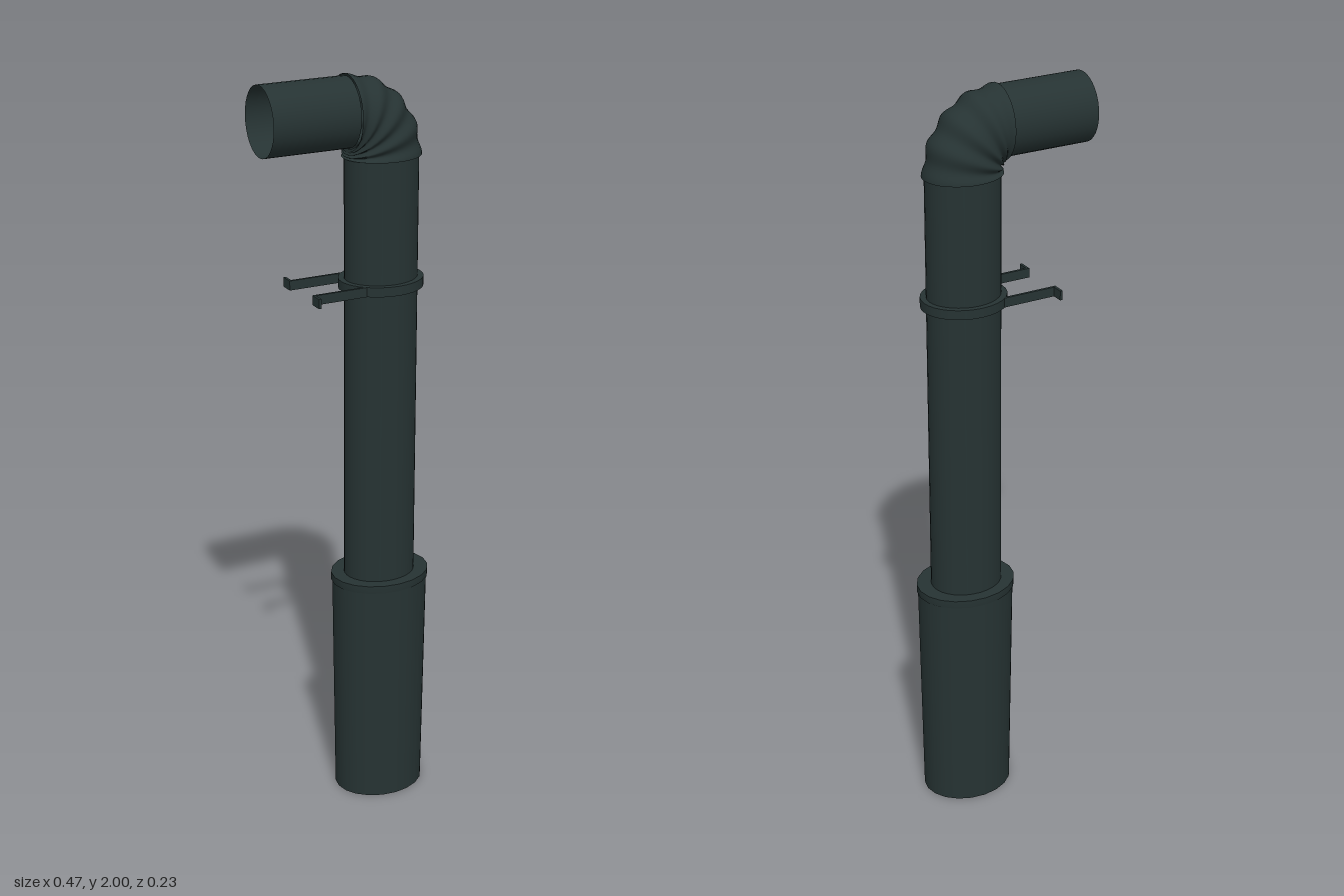
import * as THREE from 'three';

const PIPE_X = 0.098;
const RZ = 0.082; // pipe half depth

export function createModel() {
  const model = new THREE.Group();
  model.name = 'corrugatedPipe';
  const rubber = new THREE.MeshStandardMaterial({ color: 0x263333, side: THREE.DoubleSide });
  rubber.name = 'darkRubber';

  function add(name, geometry, x, y, z) {
    const mesh = new THREE.Mesh(geometry, rubber);
    mesh.name = name;
    mesh.position.set(x, y, z);
    model.add(mesh);
    return mesh;
  }
  // Oval turned part: profile radii are half widths in x, squashed in z
  function turned(name, profile, squash, sides, x = PIPE_X) {
    const g = new THREE.LatheGeometry(profile.map(([r, y]) => new THREE.Vector2(r, y)), sides);
    g.scale(1, 1, squash);
    return add(name, g, x, 0, 0);
  }

  // Tapered lower sleeve, open at the bottom, with a small lip and a flat shoulder
  turned('lowerSleeve', [[0.124, 0], [0.132, 0.63]], 0.835, 20, 0.1);
  turned('sleeveLip', [[0.132, 0.628], [0.135, 0.629], [0.135, 0.65]], 0.835, 20, 0.1);
  turned('sleeveShoulder', [[0.135, 0.65], [0.09, 0.65]], 0.835, 20, 0.1);

  // Upright pipe
  turned('uprightPipe', [[0.097, 0.6], [0.097, 1.79]], RZ / 0.097, 32);

  // Ribbed elbow made of oval sections swept through a quarter turn
  const positions = [], index = [];
  const steps = 64, sides = 32, ribs = 4;
  for (let i = 0; i <= steps; i++) {
    const t = i / steps;
    const a = t * Math.PI / 2;
    const rib = 0.008 * Math.pow(Math.cos(t * ribs * Math.PI), 2) - 0.001;
    const r = 0.097 - 0.008 * t + rib;
    for (let j = 0; j < sides; j++) {
      const p = j / sides * Math.PI * 2;
      const out = Math.cos(p) * r;
      positions.push(
        Math.cos(a) * (PIPE_X + out),
        1.79 + Math.sin(a) * (0.115 + out),
        Math.sin(p) * (RZ + rib));
      if (i < steps) {
        const b = i * sides + j, c = i * sides + (j + 1) % sides;
        index.push(b, b + sides, c, c, b + sides, c + sides);
      }
    }
  }
  const elbow = new THREE.BufferGeometry();
  elbow.setAttribute('position', new THREE.Float32BufferAttribute(positions, 3));
  elbow.setIndex(index);
  elbow.computeVertexNormals();
  add('ribbedElbow', elbow, 0, 0, 0);

  // Horizontal outlet, open at its end
  const outlet = new THREE.CylinderGeometry(0.089, 0.089, 0.235, 32, 1, true);
  outlet.rotateZ(Math.PI / 2);
  outlet.scale(1, 1, RZ / 0.089);
  add('outletPipe', outlet, -0.1175, 1.907, 0);

  // Clamp ring with hard edges
  const [inner, outer, low, high] = [0.095, 0.112, 1.45, 1.475];
  turned('clampBand', [[outer, low], [outer, high]], 0.88, 32);
  turned('clampTop', [[outer, high], [inner, high]], 0.88, 32);
  turned('clampBottom', [[inner, low], [outer, low]], 0.88, 32);

  // Two clamp arms with tips bent outward
  for (const s of [1, -1]) {
    add('clampArm', new THREE.BoxGeometry(0.165, 0.025, 0.007), -0.0455, 1.4625, s * 0.068);
    add('clampArmTip', new THREE.BoxGeometry(0.007, 0.025, 0.037), -0.1245, 1.4625, s * 0.083);
  }
  return model;
}
